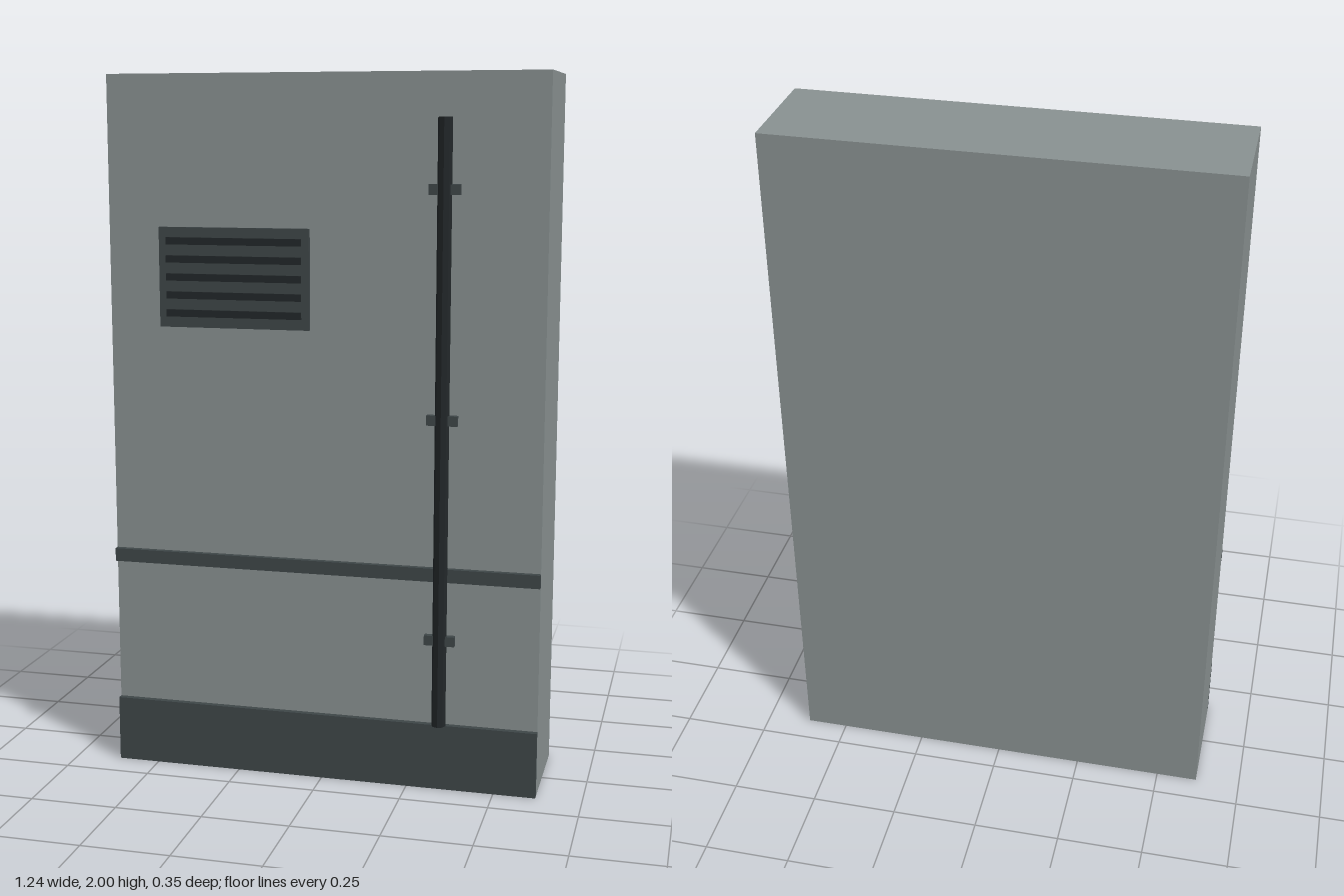
import * as THREE from 'three';

const material = (color) => new THREE.MeshStandardMaterial({ color, flatShading: true });

export function createModel() {
  const model = new THREE.Group();
  model.name = 'wallPanel';
  const wallGrey = material(0x899191);
  const trimGrey = material(0x3e4648);
  const darkGrey = material(0x222729);

  // Box given by its minimum and maximum corners
  const box = (name, mat, [x0, y0, z0], [x1, y1, z1], parent = model) => {
    const mesh = new THREE.Mesh(new THREE.BoxGeometry(x1 - x0, y1 - y0, z1 - z0), mat);
    mesh.position.set((x0 + x1) / 2, (y0 + y1) / 2, (z0 + z1) / 2);
    mesh.name = name;
    parent.add(mesh);
    return mesh;
  };

  const halfWidth = 0.62;
  const front = 0.138;

  // Wall slab with its plinth and horizontal trim band
  box('wall', wallGrey, [-halfWidth, 0, -0.175], [halfWidth, 2, front]);
  box('plinth', trimGrey, [-halfWidth, 0, front], [halfWidth, 0.19, 0.155]);
  box('trimBand', trimGrey, [-halfWidth, 0.608, front], [halfWidth, 0.646, 0.155]);

  // Ventilation grille: plate and five slats
  const vent = new THREE.Group();
  vent.name = 'vent';
  model.add(vent);
  box('ventPlate', trimGrey, [-0.47, 1.3, front], [-0.035, 1.58, 0.149], vent);
  for (let i = 0; i < 5; i++) {
    const y = 1.34 + i * 0.0505;
    box('ventSlat', darkGrey, [-0.448, y - 0.01, 0.147], [-0.057, y + 0.01, 0.156], vent);
  }

  // Vertical pipe and its clamps
  const pipeX = 0.342;
  const pipe = new THREE.Mesh(new THREE.CylinderGeometry(0.02, 0.02, 1.69, 8), darkGrey);
  pipe.position.set(pipeX, 1.035, 0.155);
  pipe.name = 'pipe';
  model.add(pipe);
  for (const y of [0.44, 1.065, 1.69]) {
    box('pipeClamp', trimGrey, [pipeX - 0.043, y - 0.014, 0.145], [pipeX + 0.043, y + 0.014, 0.163]);
  }

  return model;
}
